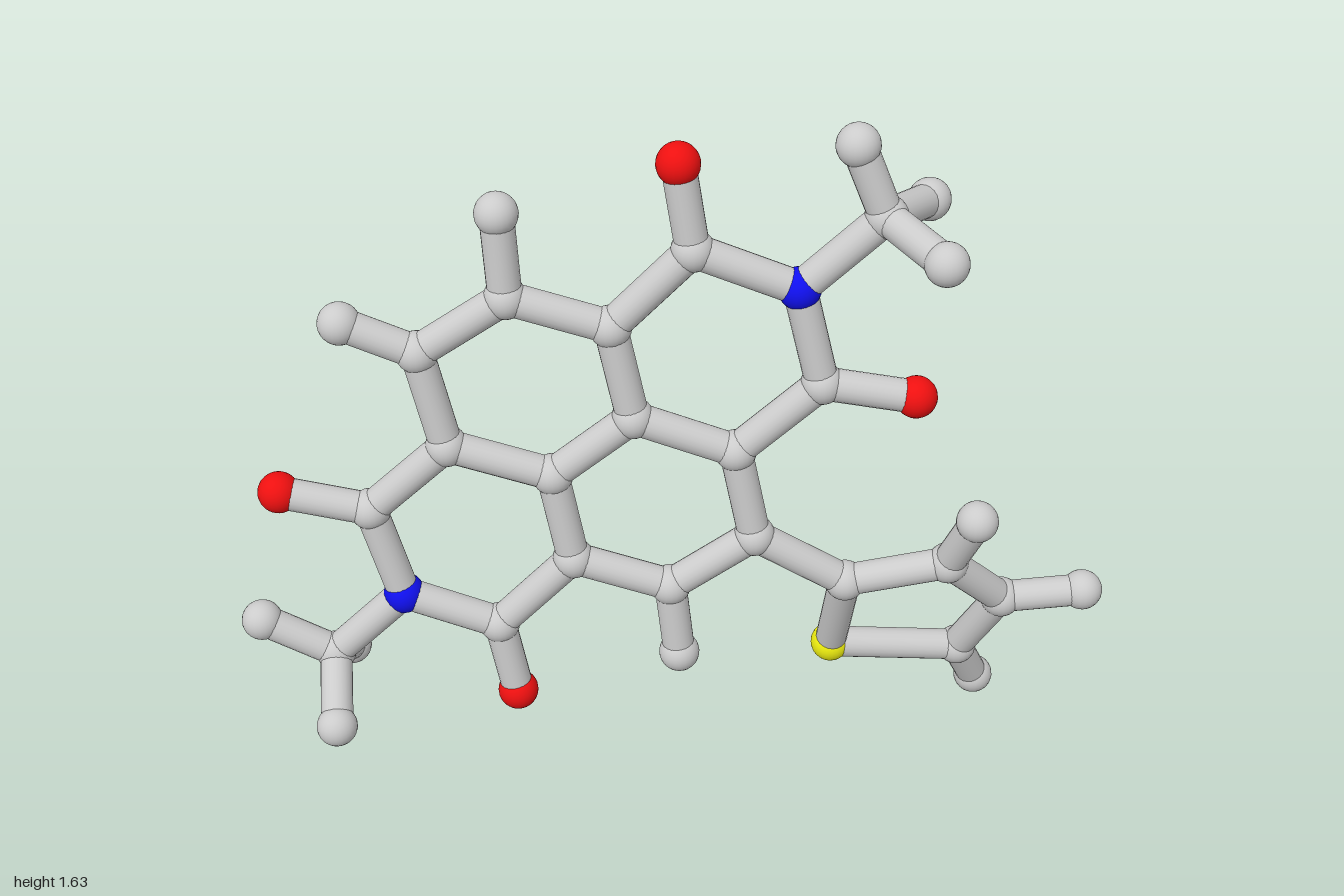
import * as THREE from 'three';

const BALL = 0.047, STICK = 0.037;

// The fused ring system and the five-membered ring each lie in a tilted plane
const corePlane = (x, y) => 0.046 * x - 0.061 * y + 0.055;
const sidePlane = (x, y) => 0.397 * y - 0.165;

// Atom: [element, x, y, z]; z is taken from the core plane when omitted
const core = {
  o1: ['O', 0.01, 1.545], c1: ['C', 0.04, 1.35], n1: ['N', 0.265, 1.26],
  c2: ['C', 0.32, 1.03], o2: ['O', 0.525, 0.995],
  c3: ['C', -0.135, 1.17], c4: ['C', -0.355, 1.24], h4: ['H', -0.365, 1.435],
  c5: ['C', -0.55, 1.11], h5: ['H', -0.71, 1.18], c6: ['C', -0.5, 0.875],
  c7: ['C', -0.27, 0.80], c8: ['C', -0.09, 0.945], c9: ['C', 0.135, 0.86],
  c10: ['C', 0.18, 0.635], c11: ['C', -0.01, 0.50], h11: ['H', 0.01, 0.31],
  c12: ['C', -0.23, 0.575], c13: ['C', -0.68, 0.71], o3: ['O', -0.88, 0.755],
  n2: ['N', -0.62, 0.48], c14: ['C', -0.405, 0.395], o4: ['O', -0.37, 0.20],
  m1: ['C', 0.44, 1.425], m1a: ['H', 0.375, 1.585],
  m1b: ['H', 0.553, 1.385, -0.155], m1c: ['H', 0.543, 1.40, 0.145],
  m2: ['C', -0.79, 0.315], m2a: ['H', -0.953, 0.405],
  m2b: ['H', -0.773, 0.205, -0.153], m2c: ['H', -0.785, 0.22, 0.155],
};
const side = {
  ta: ['C', 0.39, 0.505], tb: ['C', 0.62, 0.565], hb: ['H', 0.663, 0.73],
  tc: ['C', 0.765, 0.41], hc: ['H', 0.953, 0.43], td: ['C', 0.69, 0.195],
  hd: ['H', 0.752, 0.048], s: ['S', 0.38, 0.23],
};

// Chains of bonded atoms
const chains = [
  'o1 c1 n1 c2 o2', 'c2 c9 c8 c3 c1', 'c3 c4 c5 c6 c7 c8', 'c4 h4', 'c5 h5',
  'c9 c10 c11 c12 c7', 'c11 h11', 'c6 c13 n2 c14 c12', 'c13 o3', 'c14 o4',
  'n1 m1 m1a', 'm1b m1 m1c', 'n2 m2 m2a', 'm2b m2 m2c',
  'c10 ta tb tc td s ta', 'tb hb', 'tc hc', 'td hd',
];

const names = { C: 'jointBall', H: 'endBall', O: 'redBall', N: 'blueBall', S: 'yellowBall' };

export function createModel() {
  const model = new THREE.Group();
  const grey = new THREE.MeshStandardMaterial({ color: 0xcccccc });
  const materials = {
    C: grey, H: grey,
    O: new THREE.MeshStandardMaterial({ color: 0xee1010 }),
    N: new THREE.MeshStandardMaterial({ color: 0x1010ee }),
    S: new THREE.MeshStandardMaterial({ color: 0xeeee10 }),
  };
  const ballGeo = new THREE.SphereGeometry(BALL, 24, 16);
  const stickGeo = new THREE.CylinderGeometry(STICK, STICK, 1, 20, 1, true);
  const points = {};

  // Balls
  const addBalls = (atoms, plane) => {
    for (const [id, [element, x, y, z = plane(x, y)]] of Object.entries(atoms)) {
      const ball = new THREE.Mesh(ballGeo, materials[element]);
      ball.name = names[element];
      ball.position.set(x, y, z);
      points[id] = ball.position;
      model.add(ball);
    }
  };
  addBalls(core, corePlane);
  addBalls(side, sidePlane);

  // Sticks from ball centre to ball centre
  const up = new THREE.Vector3(0, 1, 0);
  for (const chain of chains) {
    const ids = chain.split(' ');
    for (let i = 1; i < ids.length; i++) {
      const a = points[ids[i - 1]], b = points[ids[i]];
      const dir = b.clone().sub(a);
      const stick = new THREE.Mesh(stickGeo, grey);
      stick.name = 'bondStick';
      stick.position.copy(a).lerp(b, 0.5);
      stick.scale.y = dir.length();
      stick.quaternion.setFromUnitVectors(up, dir.normalize());
      model.add(stick);
    }
  }
  return model;
}
